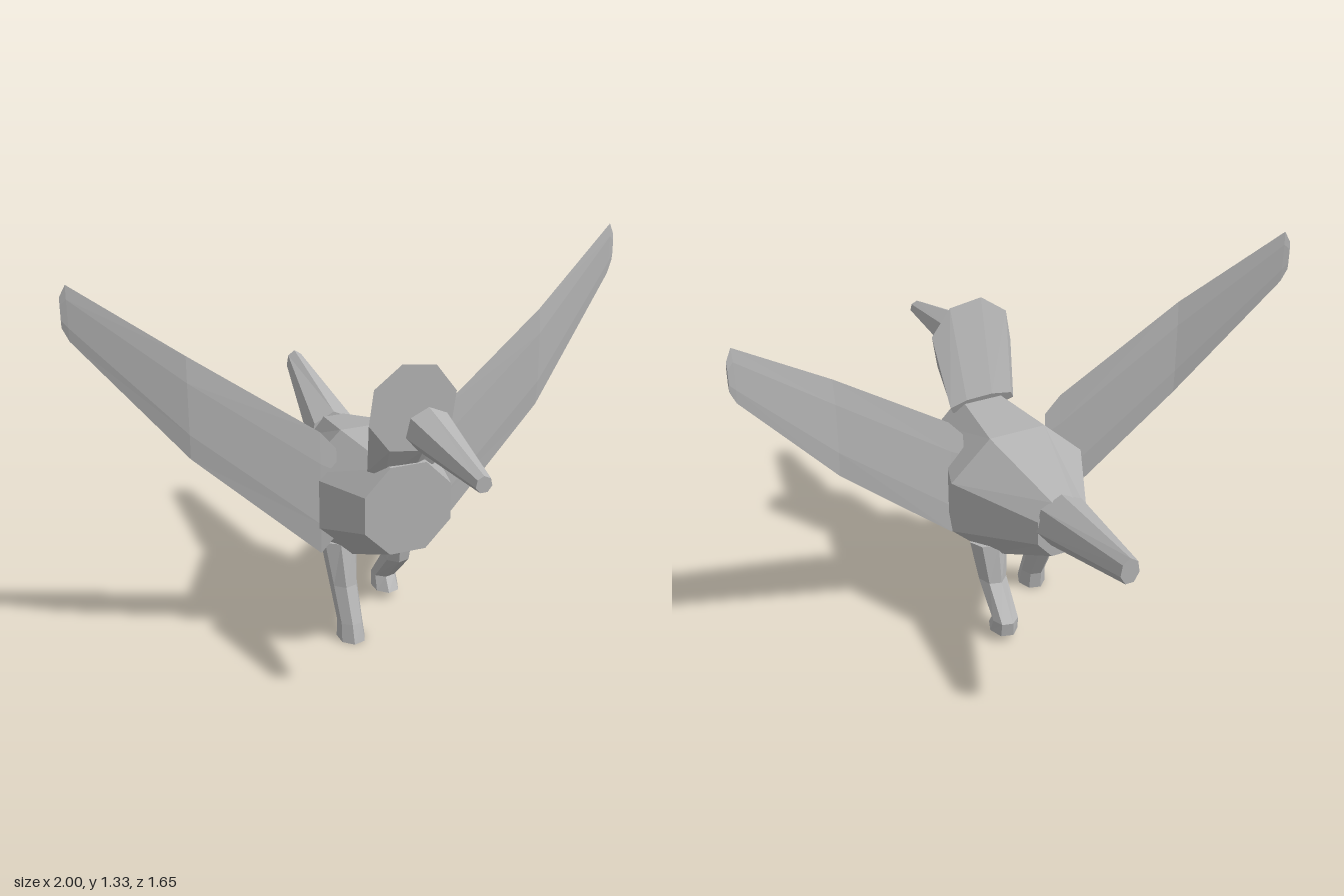
import * as THREE from 'three';

const grey = new THREE.MeshStandardMaterial({ color: 0xb4b4b4, flatShading: true });
grey.name = 'plain grey';

// Capped loft through rings [centre, axis u, axis v]; winding is set so faces point outwards
function loft(name, rings, sides, phase = 0) {
  const pts = rings.map(([c, u, v]) => Array.from({ length: sides }, (_, i) => {
    const a = phase + (i / sides) * Math.PI * 2;
    return new THREE.Vector3(...c)
      .addScaledVector(new THREE.Vector3(...u), Math.cos(a))
      .addScaledVector(new THREE.Vector3(...v), Math.sin(a));
  }));
  const tris = [];
  for (let r = 0; r < pts.length - 1; r++) {
    for (let i = 0; i < sides; i++) {
      const j = (i + 1) % sides;
      const [a, b, c, d] = [pts[r][i], pts[r][j], pts[r + 1][j], pts[r + 1][i]];
      tris.push([a, b, c], [a, c, d]);
    }
  }
  const first = pts[0], last = pts[pts.length - 1];
  for (let i = 1; i < sides - 1; i++) {
    tris.push([first[0], first[i + 1], first[i]], [last[0], last[i], last[i + 1]]);
  }
  const volume = tris.reduce((s, [a, b, c]) => s + a.dot(b.clone().cross(c)), 0);
  if (volume < 0) tris.forEach((t) => t.reverse());
  const geo = new THREE.BufferGeometry().setFromPoints(tris.flat());
  geo.computeVertexNormals();
  const mesh = new THREE.Mesh(geo, grey);
  mesh.name = name;
  return mesh;
}

// Upright ring facing z, and flat ring facing y
const upright = (x, y, z, rx, ry) => [[x, y, z], [rx, 0, 0], [0, ry, 0]];
const flat = (x, y, z, rx, rz) => [[x, y, z], [rx, 0, 0], [0, 0, rz]];

// Thin swept wing: [x, lower y, upper y, z, half thickness]
function wing(name, side) {
  const sections = [
    [0.16, 0.40, 0.72, 0.10, 0.006],
    [0.215, 0.335, 0.785, 0.093, 0.008],
    [0.64, 0.73, 1.088, 0.022, 0.008],
    [0.98, 1.145, 1.33, -0.095, 0.005],
    [1.0, 1.19, 1.29, -0.102, 0.003],
  ];
  return loft(name, sections.map(([x, lo, hi, z, t]) =>
    [[side * x, (lo + hi) / 2, z], [0, (hi - lo) / 2, 0], [side * t * 0.3, 0, t]]), 6);
}

export function createModel() {
  const model = new THREE.Group();
  model.name = 'bird';

  // Octagonal body, widest in the middle
  model.add(loft('body', [
    upright(0, 0.57, 0.335, 0.168, 0.17),
    upright(0, 0.503, 0, 0.272, 0.257),
    upright(0, 0.55, -0.335, 0.098, 0.115),
  ], 8, Math.PI / 8));

  // Head widening from the neck to a flat octagonal face
  model.add(loft('head', [
    [[0, 0.715, 0.282], [0.13, 0, 0], [0, 0.038, -0.016]],
    upright(0, 0.935, 0.363, 0.158, 0.158),
  ], 8, 0.22 + Math.PI / 16 - 0.17));

  // Beak and tail taper to small tips
  model.add(loft('beak', [
    upright(0, 0.907, 0.48, 0.08, 0.075),
    upright(0.015, 0.862, 0.83, 0.028, 0.028),
  ], 7, Math.PI / 2));
  model.add(loft('tail', [
    upright(0, 0.575, -0.325, 0.097, 0.098),
    upright(0.033, 0.697, -0.825, 0.034, 0.048),
  ], 7, Math.PI / 2));

  model.add(wing('leftWing', 1), wing('rightWing', -1));

  // Legs in mid stride: right one forward, left one back
  model.add(loft('rightLeg', [
    flat(-0.122, 0.345, 0.02, 0.068, 0.06),
    flat(-0.12, 0.19, 0.055, 0.05, 0.058),
    flat(-0.118, 0.065, 0.11, 0.045, 0.052),
    flat(-0.118, 0, 0.122, 0.05, 0.062),
  ], 7));
  model.add(loft('leftLeg', [
    flat(0.122, 0.345, -0.01, 0.068, 0.06),
    flat(0.12, 0.2, -0.035, 0.05, 0.062),
    flat(0.12, 0.082, -0.142, 0.046, 0.048),
    flat(0.12, 0.03, -0.125, 0.05, 0.064),
  ], 7));

  return model;
}
